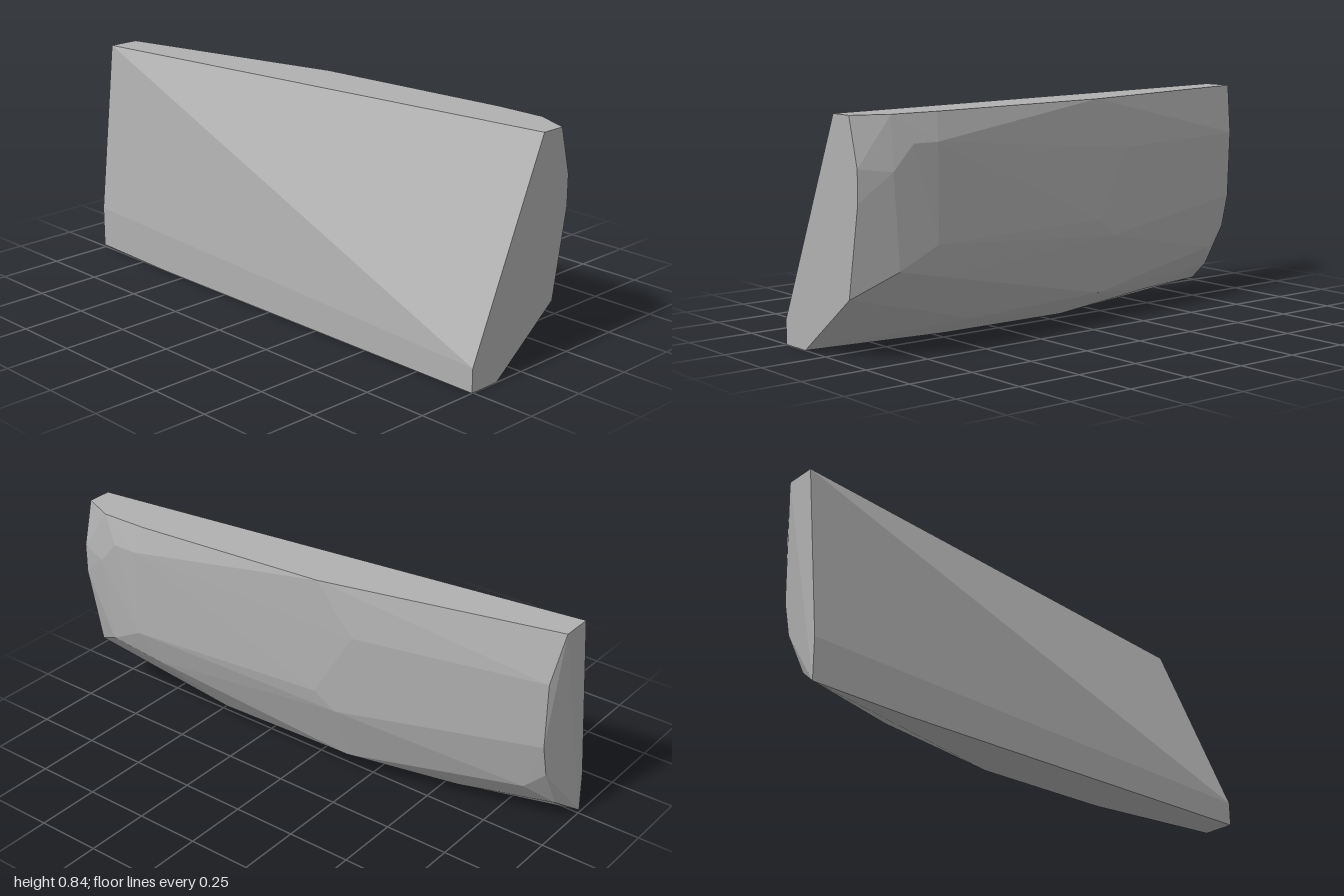
import * as THREE from 'three';
import { ConvexGeometry } from 'three/addons/geometries/ConvexGeometry.js';

// Corner rings of the chipped stone slab: [x, y, z]
const flatSide = [
  [-0.18, 0.84, -1], [0.075, 0.84, 1], [-0.255, 0.17, -1],
  [-0.255, 0.09, 1], [-0.255, 0.01, -1], [-0.255, 0, 1], [-0.255, 0, -0.6],
];
const topEdge = [
  [-0.06, 0.84, -1], [0.153, 0.84, -0.1], [0.222, 0.84, 0.68],
  [0.224, 0.84, 0.87], [0.17, 0.84, 1],
];
const frontEdge = [
  [0.215, 0.665, 1], [0.215, 0.55, 1], [0.155, 0.22, 1], [-0.13, 0, 1],
];
const backEdge = [
  [-0.015, 0.65, -0.97], [-0.02, 0.39, -0.965], [-0.05, 0.26, -0.965],
  [-0.045, 0.18, -0.88], [-0.14, 0.09, -0.96],
];
const bulge = [
  [0.253, 0.74, 0.7], [0.253, 0.74, 0.8], [0.25, 0.65, 0.88], [0.253, 0.39, 0.7],
  [0.237, 0.31, 0.85], [0.21, 0.265, 0.64], [0.145, 0.65, -0.25],
  [0.17, 0.39, -0.1], [0.15, 0.32, -0.18], [0.135, 0.24, 0],
];
const underside = [
  [0.065, 0.07, 0.42], [0.07, 0.09, -0.18], [-0.08, 0.04, -0.57],
  [-0.055, 0, -0.09], [-0.06, 0, 0.46],
];

export function createModel() {
  const group = new THREE.Group();
  group.name = 'rock';
  const stone = new THREE.MeshStandardMaterial({ color: 0xb0b0b0 });
  stone.name = 'grey stone';
  stone.flatShading = true;

  // One convex faceted block wrapped around all the corners
  const corners = [flatSide, topEdge, frontEdge, backEdge, bulge, underside]
    .flat().map((p) => new THREE.Vector3(...p));
  const slab = new THREE.Mesh(new ConvexGeometry(corners), stone);
  slab.name = 'stoneSlab';
  group.add(slab);
  return group;
}
